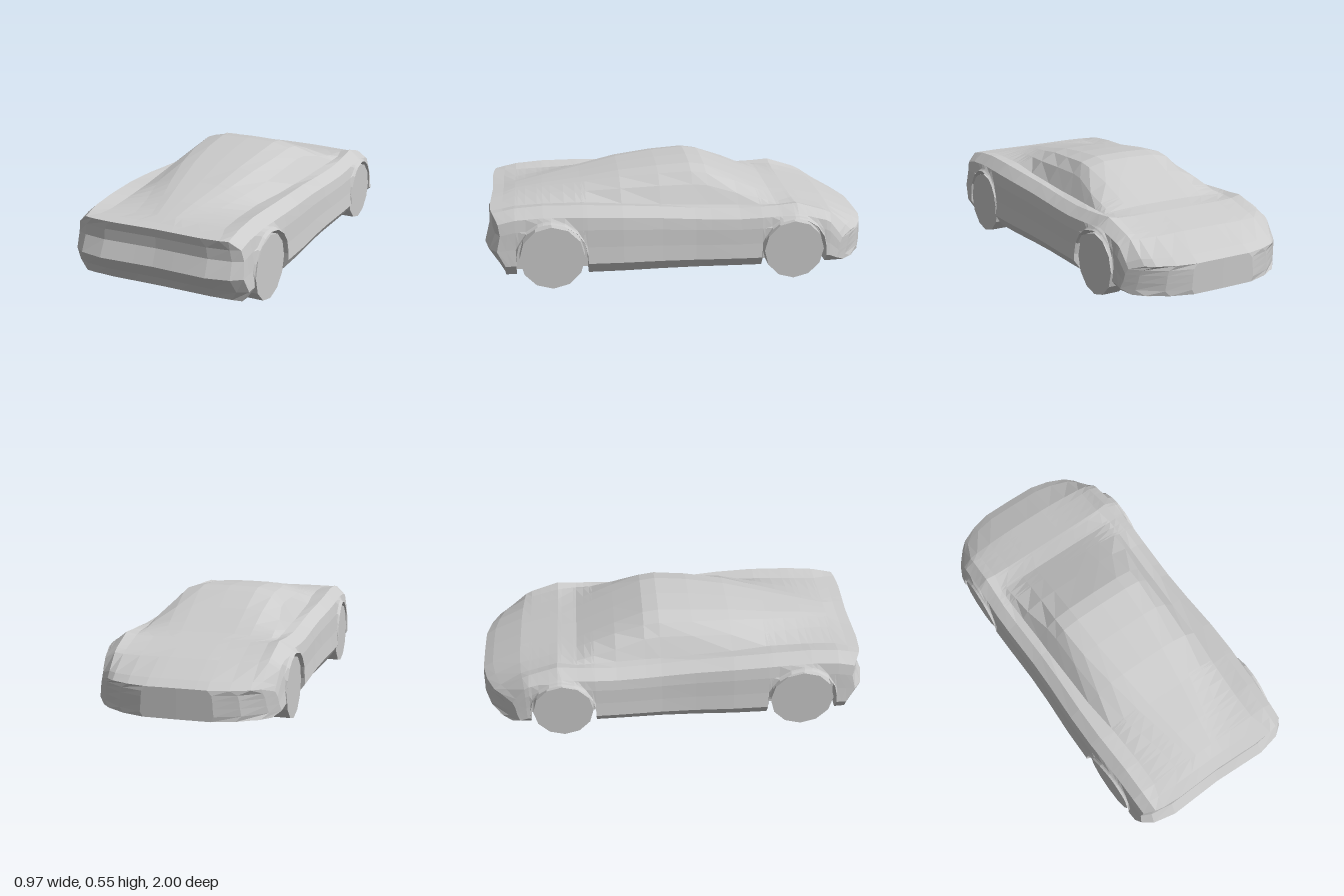
import * as THREE from 'three';

const FLOOR = 0.075, WELL_X = 0.365;
const WHEELS = [{ name: 'positiveZ', z: 0.66, r: 0.165, arch: 0.18 }, { name: 'negativeZ', z: -0.58, r: 0.155, arch: 0.168 }];

// Body stations: z, centre height, fender height, then x,y of cabin base, window top and roof edge
const STATIONS = [
  [-1.00, 0.225, 0.220, 0.34, 0.222, 0.25, 0.223, 0.15, 0.224],
  [-0.95, 0.255, 0.250, 0.34, 0.250, 0.25, 0.252, 0.15, 0.254],
  [-0.80, 0.322, 0.322, 0.34, 0.318, 0.25, 0.318, 0.15, 0.320],
  [-0.60, 0.370, 0.386, 0.34, 0.374, 0.25, 0.370, 0.15, 0.370],
  [-0.50, 0.385, 0.378, 0.36, 0.370, 0.33, 0.375, 0.22, 0.381],
  [-0.30, 0.475, 0.370, 0.355, 0.375, 0.32, 0.425, 0.23, 0.465],
  [-0.15, 0.540, 0.375, 0.35, 0.380, 0.295, 0.465, 0.24, 0.515],
  [-0.07, 0.552, 0.380, 0.35, 0.382, 0.29, 0.472, 0.24, 0.527],
  [0.10, 0.540, 0.395, 0.345, 0.390, 0.29, 0.470, 0.23, 0.518],
  [0.30, 0.515, 0.410, 0.34, 0.400, 0.28, 0.460, 0.20, 0.500],
  [0.50, 0.475, 0.420, 0.32, 0.408, 0.24, 0.440, 0.16, 0.465],
  [0.70, 0.440, 0.422, 0.31, 0.405, 0.19, 0.420, 0.11, 0.433],
  [0.84, 0.412, 0.412, 0.31, 0.400, 0.17, 0.404, 0.08, 0.409],
  [0.92, 0.396, 0.400, 0.33, 0.394, 0.22, 0.394, 0.12, 0.395],
  [1.00, 0.388, 0.388, 0.34, 0.388, 0.24, 0.388, 0.14, 0.388],
];

// Piecewise linear lookup in rows of [key, values...]
function lookup(rows, k, col = 1) {
  if (k <= rows[0][0]) return rows[0][col];
  for (let i = 1; i < rows.length; i++) {
    const a = rows[i - 1], b = rows[i];
    if (k <= b[0]) return a[col] + (b[col] - a[col]) * (k - a[0]) / (b[0] - a[0]);
  }
  return rows[rows.length - 1][col];
}

// Lower edge of the body side, raised over each wheel
function archHeight(z) {
  for (const w of WHEELS) {
    const d = Math.abs(z - w.z);
    if (d < w.arch) return w.r - 0.003 + Math.sqrt(w.arch ** 2 - d ** 2);
  }
  return FLOOR;
}

const SIDE_X = [[0, 0.445], [0.17, 0.482], [0.42, 0.472], [0.68, 0.466], [0.86, 0.455], [1, 0.40]];
const WIDTH = [[-1, 0.95], [-0.75, 0.97], [-0.4, 1.0], [0, 0.975], [0.4, 1.01], [0.7, 0.975], [1, 0.96]];
const NOSE_X = [[0, 1], [0.2, 0.998], [0.35, 0.93], [0.44, 0.83], [0.47, 0.79]];
const TAIL_X = [[0, 0.92], [0.3, 1], [0.42, 0.8], [0.47, 0.45]];
const TAIL_Y = [[0.075, 0.4], [0.13, 0.6], [0.205, 1], [0.29, 0.72], [0.36, 0.74], [0.39, 0.8]];

// Rounds the plan of both ends and shapes the tail in profile
function bend(x, y, z) {
  const ax = Math.abs(x);
  if (z < -0.76) z = -0.76 + (z + 0.76) * (lookup(NOSE_X, ax) - 0.76) / 0.24;
  if (z > 0.85) z = 0.85 + (z - 0.85) * lookup(TAIL_X, ax) * lookup(TAIL_Y, y);
  return [x, y, z];
}

// Half cross-section from the floor centre up to the roof centre
function halfSection(z) {
  const [top, fender, xc, yc, xw, yw, xr, yr] = [1, 2, 3, 4, 5, 6, 7, 8].map(c => lookup(STATIONS, z, c));
  const arch = archHeight(z), width = lookup(WIDTH, z);
  const pts = [[0, FLOOR], [WELL_X, FLOOR], [WELL_X, arch]];
  SIDE_X.forEach(([f, x], i) => {
    const y = FLOOR + (fender - FLOOR) * f;
    if (i === 0) {
      const af = (arch - FLOOR) / (fender - FLOOR);
      pts.push([lookup(SIDE_X, Math.min(af, 0.86)) * width, arch]);
    } else pts.push([x * width, Math.max(y, arch + 0.006 * i)]);
  });
  pts.push([xc, yc], [xw, yw], [xr, yr], [xr * 0.63, yr + (top - yr) * 0.85], [0, top]);
  return pts;
}

function makeBody() {
  const positions = [];
  const quad = (a, b, c, d) => positions.push(...a, ...b, ...c, ...a, ...c, ...d);

  // Stations along the length, with extra ones around the arches
  const zs = STATIONS.map(s => s[0]);
  for (const w of WHEELS) {
    for (const k of [0, 0.38, 0.71, 0.92, 0.999, 1.006]) zs.push(w.z + w.arch * k, w.z - w.arch * k);
  }
  const levels = [...new Set(zs)].sort((a, b) => a - b);
  const rings = levels.map(z => {
    const half = halfSection(z);
    const mirrored = half.slice(1, -1).reverse().map(([x, y]) => [-x, y]);
    return [...half, ...mirrored].map(([x, y]) => bend(x, y, z));
  });
  for (let s = 0; s < rings.length - 1; s++) {
    const a = rings[s], b = rings[s + 1], n = a.length;
    for (let i = 0; i < n; i++) quad(a[i], a[(i + 1) % n], b[(i + 1) % n], b[i]);
  }

  // Nose and tail faces, as grids across the width
  for (const z of [-1, 1]) {
    const half = halfSection(z), side = half.slice(3, 9);
    const upper = half.slice(8).map(p => p[0] / half[8][0]);
    const columns = [...upper.map(u => -u), ...upper.slice(0, -1).reverse()];
    const topHeight = u => half[8 + upper.findIndex(v => Math.abs(v - Math.abs(u)) < 1e-6)][1];
    const rows = side.map(([x, y], i) =>
      columns.map(u => bend(u * x, i === side.length - 1 ? topHeight(u) : y, z)));
    for (let r = 0; r < rows.length - 1; r++) {
      for (let c = 0; c < columns.length - 1; c++) {
        const q = [rows[r][c], rows[r][c + 1], rows[r + 1][c + 1], rows[r + 1][c]];
        quad(...(z > 0 ? q : q.reverse()));
      }
    }
  }
  const geometry = new THREE.BufferGeometry();
  geometry.setAttribute('position', new THREE.Float32BufferAttribute(positions, 3));
  geometry.computeVertexNormals();
  return geometry;
}

export function createModel() {
  const car = new THREE.Group();
  car.name = 'car';
  const material = new THREE.MeshStandardMaterial({ color: 0xcccccc, flatShading: true, side: THREE.DoubleSide });

  const body = new THREE.Mesh(makeBody(), material);
  body.name = 'body';
  car.add(body);

  // Four plain twelve-sided wheels
  for (const w of WHEELS) {
    for (const side of [-1, 1]) {
      const wheel = new THREE.Mesh(new THREE.CylinderGeometry(w.r, w.r, 0.093, 12), material);
      wheel.name = `${w.name}${side > 0 ? 'Left' : 'Right'}Wheel`;
      wheel.rotation.z = Math.PI / 2;
      wheel.position.set(side * 0.418, w.r, w.z);
      car.add(wheel);
    }
  }
  return car;
}
